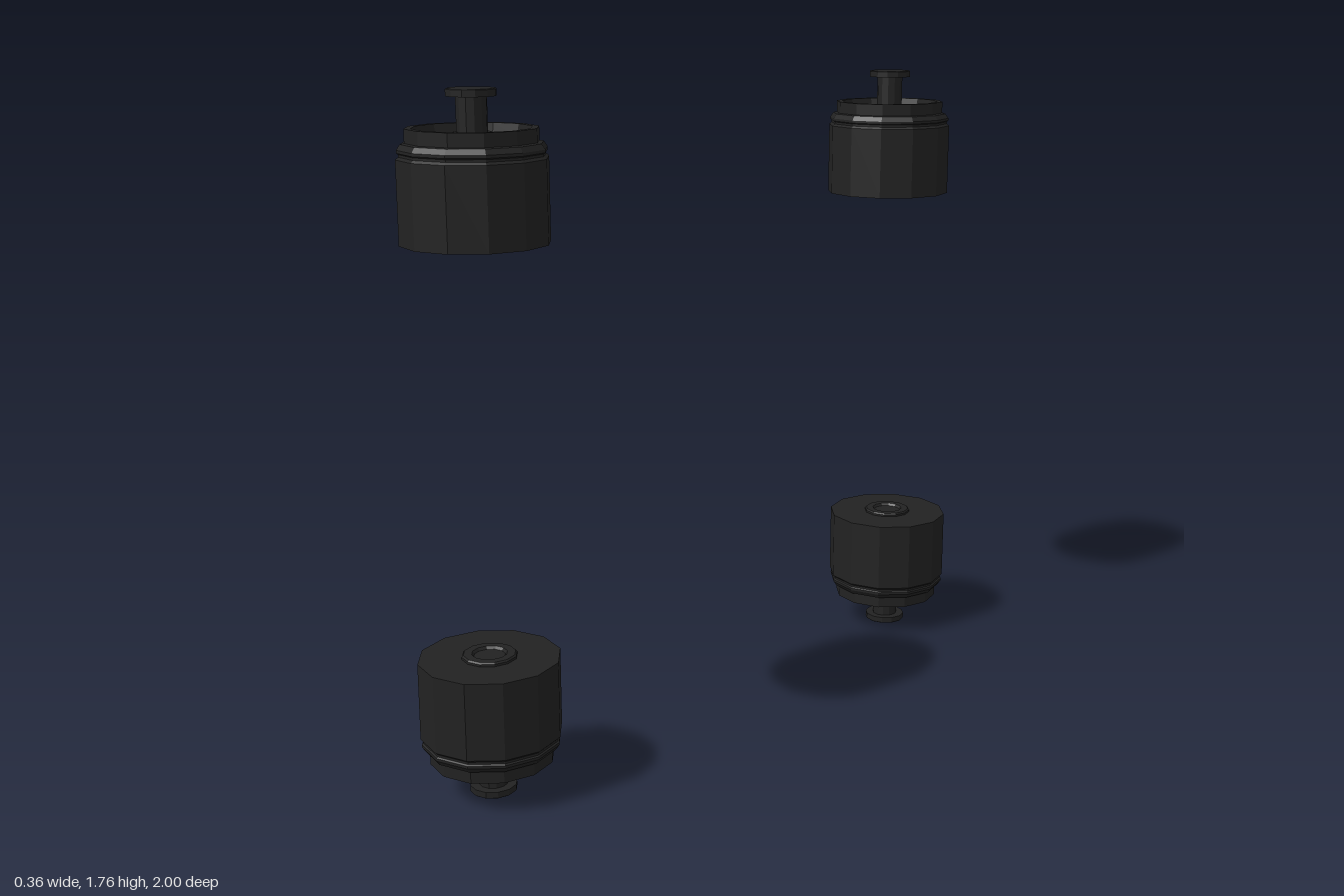
import * as THREE from 'three';

const SIDES = 12;
const material = new THREE.MeshStandardMaterial({ color: 0x222222, flatShading: true });

// Faceted turned part from [radius, height] pairs, listed from bottom to top
function turned(name, profile) {
  const points = profile.map(([r, y]) => new THREE.Vector2(r, y));
  const mesh = new THREE.Mesh(new THREE.LatheGeometry(points, SIDES), material);
  mesh.name = name;
  return mesh;
}

// One pod, standing on its base ring with the stem pointing up
function createPod(name) {
  const pod = new THREE.Group();
  pod.name = name;
  pod.add(
    // shallow ring under the base, with a sunken centre
    turned('baseRing', [[0, 0.007], [0.04, 0.007], [0.045, 0], [0.066, 0], [0.07, 0.004], [0.07, 0.012]]),
    // drum, grooved band, neck and hollow rim
    turned('body', [
      [0, 0.01], [0.18, 0.01], [0.18, 0.21], [0.173, 0.216], [0.173, 0.222],
      [0.177, 0.225], [0.177, 0.232], [0.168, 0.245], [0.158, 0.247],
      [0.158, 0.28], [0.142, 0.28], [0.136, 0.25], [0, 0.25],
    ]),
    turned('stemCollar', [[0.055, 0.25], [0.055, 0.262], [0.045, 0.27], [0.035, 0.27]]),
    turned('stem', [[0.037, 0.25], [0.037, 0.355]]),
    turned('stemCap', [[0, 0.352], [0.06, 0.352], [0.06, 0.368], [0.057, 0.37], [0, 0.37]]),
  );
  return pod;
}

export function createModel() {
  const model = new THREE.Group();
  model.name = 'podSet';

  // upper pods point up, lower pods hang upside down
  const pods = [
    ['upperFrontPod', 1.39, 0.82, false],
    ['upperBackPod', 1.37, -0.78, false],
    ['lowerFrontPod', 0.37, 0.82, true],
    ['lowerBackPod', 0.37, -0.82, true],
  ];
  for (const [name, y, z, flipped] of pods) {
    const pod = createPod(name);
    pod.position.set(0, y, z);
    if (flipped) pod.rotation.x = Math.PI;
    model.add(pod);
  }
  return model;
}
